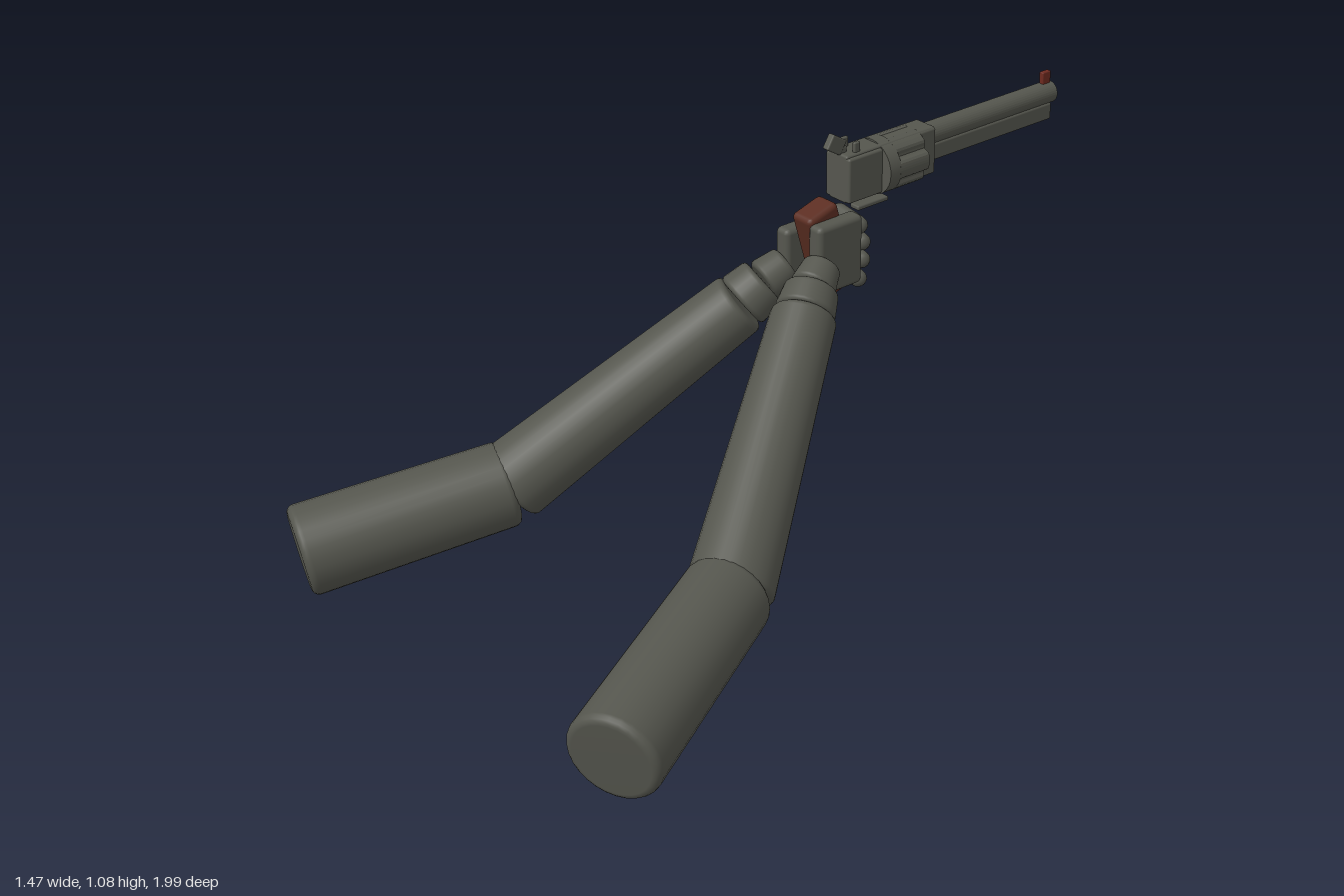
import * as THREE from 'three';
import { RoundedBoxGeometry } from 'three/addons/geometries/RoundedBoxGeometry.js';

const mat = (name, color) => {
  const m = new THREE.MeshStandardMaterial({ color });
  m.name = name;
  return m;
};

export function createModel() {
  const model = new THREE.Group();
  const steel = mat('dark grey', 0x55564e);
  const wood = mat('brown grip', 0x5c2e22);
  const red = mat('red sight', 0x6e2a20);

  const add = (parent, name, geo, material, x = 0, y = 0, z = 0) => {
    const m = new THREE.Mesh(geo, material);
    m.name = name;
    m.position.set(x, y, z);
    parent.add(m);
    return m;
  };
  const box = (parent, name, w, h, d, x, y, z, material = steel, r = 0.006) =>
    add(parent, name, new RoundedBoxGeometry(w, h, d, 2, r), material, x, y, z);

  // Tapered limb with softly rounded rims, running from a to b
  const limb = (parent, name, a, b, ra, rb, bevel = 0.015) => {
    const from = new THREE.Vector3(...a), to = new THREE.Vector3(...b);
    const len = from.distanceTo(to);
    const pts = [new THREE.Vector2(0, 0)];
    for (let i = 0; i <= 4; i++) {
      const t = (i / 4) * Math.PI / 2;
      pts.push(new THREE.Vector2(ra - bevel + bevel * Math.sin(t), bevel - bevel * Math.cos(t)));
    }
    for (let i = 0; i <= 4; i++) {
      const t = (i / 4) * Math.PI / 2;
      pts.push(new THREE.Vector2(rb - bevel + bevel * Math.cos(t), len - bevel + bevel * Math.sin(t)));
    }
    pts.push(new THREE.Vector2(0, len));
    const m = add(parent, name, new THREE.LatheGeometry(pts, 28), steel, ...a);
    m.quaternion.setFromUnitVectors(new THREE.Vector3(0, 1, 0), to.sub(from).normalize());
  };

  // Arms: shoulder end, elbow, forearm end, cuff end, wrist end
  const arms = {
    leftArm: [[0.635, 0.197, 0.945], [0.4, 0.29, 0.42], [0.08, 0.705, -0.085], [0.05, 0.745, -0.135], [0.025, 0.78, -0.19]],
    rightArm: [[-0.635, 0.117, 0.91], [-0.435, 0.215, 0.42], [-0.14, 0.66, -0.075], [-0.12, 0.705, -0.13], [-0.105, 0.74, -0.19]],
  };
  for (const [name, [shoulder, elbow, fore, cuff, wrist]] of Object.entries(arms)) {
    const arm = new THREE.Group();
    arm.name = name;
    model.add(arm);
    limb(arm, 'upperArm', shoulder, elbow, 0.115, 0.108, 0.02);
    limb(arm, 'forearm', elbow, fore, 0.103, 0.08);
    limb(arm, 'cuff', fore, cuff, 0.073, 0.067, 0.012);
    limb(arm, 'wrist', cuff, wrist, 0.055, 0.048, 0.012);
  }

  // Hands clasping the grip
  const hands = new THREE.Group();
  hands.name = 'hands';
  model.add(hands);
  box(hands, 'leftPalm', 0.046, 0.18, 0.14, 0.021, 0.797, -0.235, steel, 0.014);
  box(hands, 'rightPalm', 0.046, 0.17, 0.14, -0.108, 0.75, -0.245, steel, 0.014);
  for (let i = 0; i < 4; i++) {
    const finger = add(hands, 'finger', new THREE.CapsuleGeometry(0.022, 0.07, 4, 12), steel,
      -0.03, 0.845 - i * 0.047, -0.325 - (i === 1 || i === 2 ? 0.01 : 0));
    finger.rotation.z = Math.PI / 2 - 0.15;
  }

  // Revolver, centred on its own x axis
  const gun = new THREE.Group();
  gun.name = 'revolver';
  gun.position.x = -0.025;
  model.add(gun);

  const grip = box(gun, 'grip', 0.07, 0.235, 0.095, 0, 0.797, -0.24, wood, 0.014);
  grip.rotation.x = 0.29;

  // Frame: rear block, top strap, bottom strap and front block
  box(gun, 'rearFrame', 0.085, 0.115, 0.11, 0, 0.967, -0.335);
  box(gun, 'topStrap', 0.066, 0.03, 0.29, 0, 1.015, -0.425);
  box(gun, 'bottomStrap', 0.06, 0.03, 0.29, 0, 0.922, -0.425);
  box(gun, 'frontFrame', 0.07, 0.12, 0.055, 0, 0.968, -0.543);

  // Fluted drum
  const drumShape = new THREE.Shape();
  for (let i = 0; i < 72; i++) {
    const a = (i / 72) * Math.PI * 2;
    const r = 0.07 - 0.012 * Math.max(0, Math.cos(a * 6 + Math.PI)) ** 2;
    drumShape[i ? 'lineTo' : 'moveTo'](r * Math.cos(a), r * Math.sin(a));
  }
  const drum = new THREE.ExtrudeGeometry(drumShape, { depth: 0.095, bevelEnabled: false });
  add(gun, 'drum', drum, steel, 0, 0.965, -0.517);
  const rim = add(gun, 'drumRim', new THREE.CylinderGeometry(0.07, 0.07, 0.035, 28), steel, 0, 0.965, -0.407);
  rim.rotation.x = Math.PI / 2;

  // Barrel with a dark recess of the bore and the lug below it
  const barrelShape = new THREE.Shape().absarc(0, 0, 0.028, 0, Math.PI * 2);
  barrelShape.holes.push(new THREE.Path().absarc(0, 0, 0.014, 0, Math.PI * 2, true));
  add(gun, 'barrel', new THREE.ExtrudeGeometry(barrelShape, { depth: 0.45, bevelEnabled: false, curveSegments: 16 }),
    steel, 0, 1.0, -1.0);
  box(gun, 'barrelLug', 0.042, 0.045, 0.44, 0, 0.956, -0.768);

  // Sights, hammer and trigger guard
  box(gun, 'frontSight', 0.014, 0.034, 0.028, 0, 1.041, -0.981, red, 0.003);
  for (const s of [-1, 1]) box(gun, 'rearSight', 0.011, 0.035, 0.018, s * 0.021, 1.037, -0.32, steel, 0.003);
  const hammer = box(gun, 'hammer', 0.02, 0.04, 0.05, 0, 1.055, -0.27, steel, 0.004);
  hammer.rotation.x = -0.55;
  box(gun, 'hammerStem', 0.016, 0.04, 0.02, 0, 1.025, -0.293, steel, 0.004);
  box(gun, 'triggerGuard', 0.03, 0.012, 0.1, 0, 0.873, -0.386, steel, 0.004);

  return model;
}
